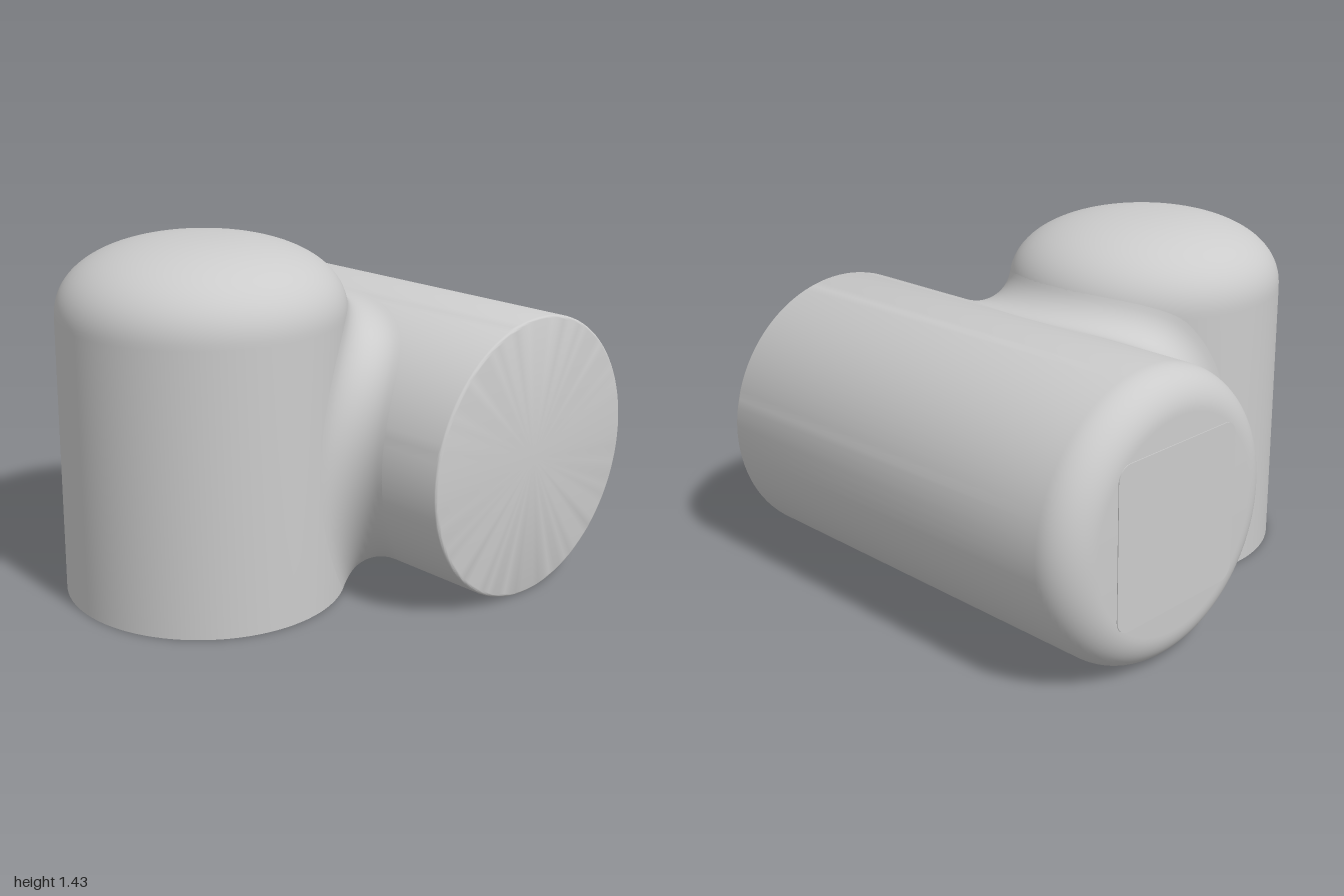
import * as THREE from 'three';
import { toCreasedNormals } from 'three/addons/utils/BufferGeometryUtils.js';

const R = 0.57;            // radius of both bodies
const VX = -0.035;         // upright axis x
const VZ = 0.43;           // upright axis z (the level body sits at -VZ)
const FILLET = 0.15;       // radius of the blend between the bodies
const DOME_Y = 1.12, DOME_H = 0.31, POWER = 2.3;

const material = new THREE.MeshStandardMaterial({ color: 0xcccccc });

function part(name, geometry, mat = material) {
  const mesh = new THREE.Mesh(geometry, mat);
  mesh.name = name;
  return mesh;
}

// Upright profile: t < 0 runs down the wall, t from 0 to 1 climbs the dome.
function profile(t) {
  if (t <= 0) return { r: R, y: DOME_Y + t, nr: 1, ny: 0 };
  const a = Math.min(t, 1) * Math.PI / 2;
  const c = Math.max(0, Math.cos(a)) ** (2 / POWER), s = Math.sin(a) ** (2 / POWER);
  const n = new THREE.Vector2(c ** (POWER - 1) / R, s ** (POWER - 1) / DOME_H).normalize();
  return { r: R * c, y: DOME_Y + DOME_H * s, nr: n.x, ny: n.y };
}

function lathe(points) {
  return toCreasedNormals(new THREE.LatheGeometry(points, 96), 0.6);
}

// Quarter-round corner points, from the end face to the wall or back
function corner(cr, cy, radius, from, to, steps) {
  return Array.from({ length: steps + 1 }, (_, i) => {
    const a = from + (to - from) * i / steps;
    return new THREE.Vector2(cr + radius * Math.cos(a), cy + radius * Math.sin(a));
  });
}

// Rolling-ball blend: arcs swept along the curve touching both bodies
function filletGeometry() {
  const reach = R + FILLET;
  const ball = (t) => {
    const p = profile(t);
    const y = p.y + FILLET * p.ny, ro = p.r + FILLET * p.nr;
    const z = -VZ + Math.sqrt(Math.max(0, reach ** 2 - (y - R) ** 2));
    return { p, y, z, x2: ro ** 2 - (z - VZ) ** 2 };
  };
  const solve = (inside, outside) => {
    for (let i = 0; i < 50; i++) {
      const m = (inside + outside) / 2;
      if (ball(m).x2 > 0) inside = m; else outside = m;
    }
    return inside;
  };
  const low = solve(R - DOME_Y, -0.149 - DOME_Y), high = solve(R - DOME_Y, 1);
  const around = 160, across = 12, positions = [], index = [];
  for (let i = 0; i < around; i++) {
    const a = (i / around) * Math.PI * 2;
    const b = ball((low + high) / 2 - (high - low) / 2 * Math.cos(a));
    const x = Math.sign(Math.sin(a)) * Math.sqrt(Math.max(0, b.x2));
    const centre = new THREE.Vector3(VX + x, b.y, b.z);
    const out = new THREE.Vector3(x, 0, b.z - VZ).normalize();
    const toUpright = out.multiplyScalar(-b.p.nr).setY(-b.p.ny);
    const toLevel = new THREE.Vector3(0, R - b.y, -VZ - b.z).normalize();
    const angle = toUpright.angleTo(toLevel);
    for (let k = 0; k <= across; k++) {
      const f = k / across;
      const q = centre.clone()
        .addScaledVector(toUpright, FILLET * Math.sin((1 - f) * angle) / Math.sin(angle))
        .addScaledVector(toLevel, FILLET * Math.sin(f * angle) / Math.sin(angle));
      positions.push(q.x, Math.max(0, q.y), q.z); // trimmed level with the base
      if (k < across) {
        const w = across + 1, m = i * w + k, n = ((i + 1) % around) * w + k;
        index.push(m, m + 1, n, m + 1, n + 1, n);
      }
    }
  }
  const g = new THREE.BufferGeometry();
  g.setAttribute('position', new THREE.Float32BufferAttribute(positions, 3));
  g.setIndex(index);
  g.computeVertexNormals();
  return g;
}

// Rounded square panel
function panelGeometry(half, radius, depth) {
  const s = new THREE.Shape(), h = half - radius;
  s.absarc(h, h, radius, 0, Math.PI / 2);
  s.absarc(-h, h, radius, Math.PI / 2, Math.PI);
  s.absarc(-h, -h, radius, Math.PI, Math.PI * 1.5);
  s.absarc(h, -h, radius, Math.PI * 1.5, Math.PI * 2);
  return new THREE.ExtrudeGeometry(s, { depth, bevelEnabled: false, curveSegments: 8 });
}

export function createModel() {
  const model = new THREE.Group();
  model.name = 'pipeFitting';

  // Upright body with flat base and domed top
  const uprightPoints = [new THREE.Vector2(0, 0), new THREE.Vector2(R, 0)];
  for (let i = 0; i <= 32; i++) {
    const p = profile(i / 32);
    uprightPoints.push(new THREE.Vector2(i === 32 ? 0 : p.r, p.y));
  }
  const upright = part('uprightBody', lathe(uprightPoints));
  upright.position.set(VX, 0, VZ);

  // Level body: one end well rounded, the other only eased
  const big = 0.15, small = 0.015, end = 0.947;
  const level = part('levelBody', lathe([
    new THREE.Vector2(0, -end),
    ...corner(R - big, -end + big, big, -Math.PI / 2, 0, 14),
    ...corner(R - small, end - small, small, 0, Math.PI / 2, 5),
    new THREE.Vector2(0, end),
  ]));
  level.rotation.z = -Math.PI / 2;
  level.position.set(0, R, -VZ);

  // Blend between the two bodies
  const blendMaterial = material.clone();
  blendMaterial.side = THREE.DoubleSide;
  const blend = part('blend', filletGeometry(), blendMaterial);

  // Thin panel on the rounded end
  const panel = part('endPanel', panelGeometry(0.32, 0.06, 0.008));
  panel.rotation.y = -Math.PI / 2;
  panel.position.set(-0.942, R, -VZ);

  model.add(upright, level, blend, panel);
  return model;
}
